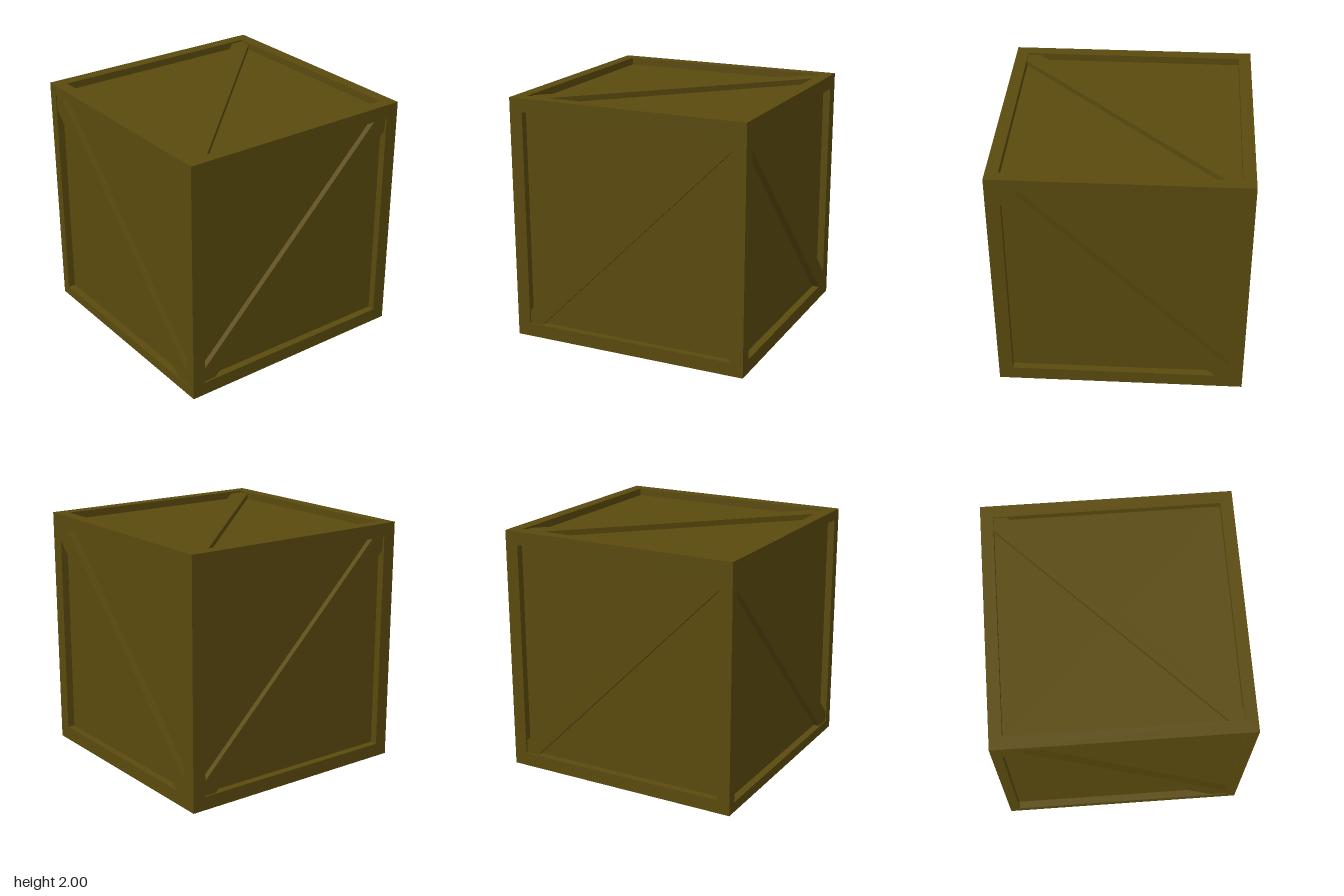
import * as THREE from 'three';

const DEPTH = 0.06; // how far the panels sit behind the frame

const material = new THREE.MeshStandardMaterial({ color: 0x5a4a0e, flatShading: true });

function polygon(points, Type = THREE.Shape) {
  return new Type(points.map(([x, y]) => new THREE.Vector2(x, y)));
}

function square(h) {
  return [[-h, -h], [h, -h], [h, h], [-h, h]];
}

// Square frame whose outer rim is mitred so neighbouring frames meet at the edges
function frameGeometry(h) {
  const shape = polygon(square(1));
  shape.holes.push(polygon(square(h).reverse(), THREE.Path));
  const geometry = new THREE.ExtrudeGeometry(shape, { depth: DEPTH, bevelEnabled: false });
  const p = geometry.attributes.position;
  for (let i = 0; i < p.count; i++) {
    if (p.getZ(i) < DEPTH / 2 && Math.abs(p.getX(i)) > 0.99) {
      p.setXY(i, p.getX(i) * (1 - DEPTH), p.getY(i) * (1 - DEPTH));
    }
  }
  geometry.computeVertexNormals();
  return geometry;
}

// Diagonal plank cut to fit the frame opening; rising runs from lower left to upper right
function braceGeometry({ h, w, shift = 0, rising, recess }) {
  const a = shift + w - h, b = shift - w + h, s = rising ? -1 : 1;
  const outline = [[-h, h], [a, h], [h, a], [h, -h], [b, -h], [-h, b]];
  const shape = polygon(outline.map(([x, y]) => [x * s, y]));
  return new THREE.ExtrudeGeometry(shape, { depth: DEPTH - recess, bevelEnabled: false });
}

// h: half opening, w: half brace width, recess: brace set back from the frame
const Q = Math.PI / 2;
const FACES = [
  { name: 'front', rot: [0, 0], h: 0.918, w: 0.112, shift: -0.025, rising: false, recess: 0.008 },
  { name: 'right', rot: [0, Q], h: 0.89, w: 0.11, rising: true, recess: 0.015 },
  { name: 'back', rot: [0, 2 * Q], h: 0.886, w: 0.11, rising: false, recess: 0 },
  { name: 'left', rot: [0, -Q], h: 0.89, w: 0.11, rising: true, recess: 0.015 },
  { name: 'top', rot: [-Q, 0], h: 0.9, w: 0.105, rising: false, recess: 0.015 },
  { name: 'bottom', rot: [Q, 0], h: 0.89, w: 0.105, rising: false, recess: 0.015 },
];

export function createModel() {
  const crate = new THREE.Group();
  crate.name = 'crate';

  // Inner box forms the recessed panels
  const size = 2 - 2 * DEPTH;
  const panels = new THREE.Mesh(new THREE.BoxGeometry(size, size, size), material);
  panels.name = 'panels';
  panels.position.y = 1;
  crate.add(panels);

  // Frame and diagonal brace on each face
  for (const face of FACES) {
    const side = new THREE.Group();
    side.name = face.name + 'Side';
    const frame = new THREE.Mesh(frameGeometry(face.h), material);
    frame.name = face.name + 'Frame';
    const brace = new THREE.Mesh(braceGeometry(face), material);
    brace.name = face.name + 'Brace';
    side.add(frame, brace);
    side.rotation.set(face.rot[0], face.rot[1], 0);
    side.position.set(0, 0, 1 - DEPTH).applyEuler(side.rotation);
    side.position.y += 1;
    crate.add(side);
  }
  return crate;
}
